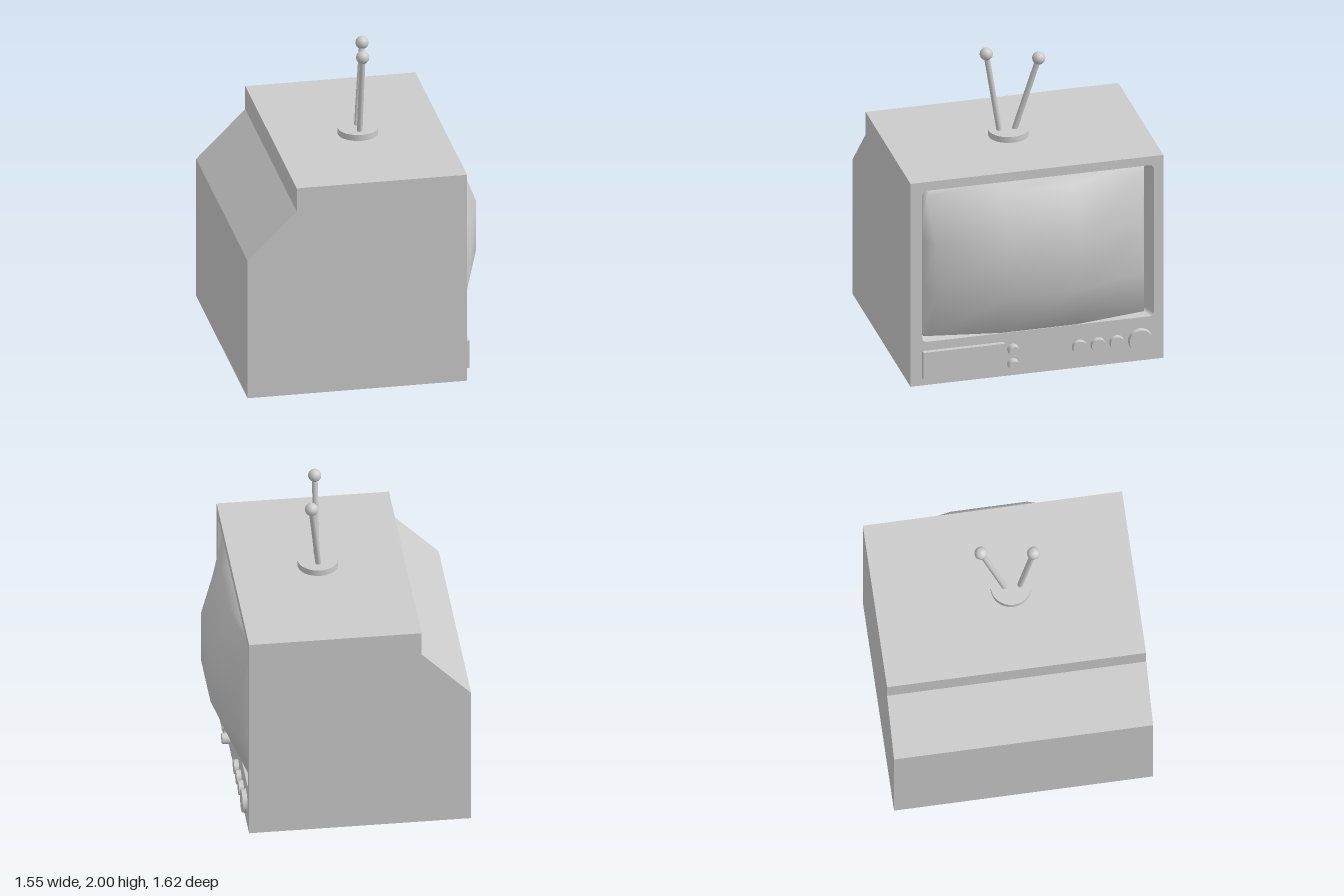
import * as THREE from 'three';
import { toCreasedNormals } from 'three/addons/utils/BufferGeometryUtils.js';

const grey = new THREE.MeshStandardMaterial({ color: 0xcccccc });
const FRONT = 0.605, BACK = -0.78, RECESS = 0.5, HALF = 0.81, TOP = 1.39;

function add(parent, name, geometry, x = 0, y = 0, z = 0) {
  const mesh = new THREE.Mesh(geometry, grey);
  mesh.name = name;
  mesh.position.set(x, y, z);
  parent.add(mesh);
  return mesh;
}

function polygon(points) {
  return new THREE.Shape(points.map(p => new THREE.Vector2(...p)));
}

// Rounded rectangle in (u, y), with u = -z, counter-clockwise
function roundedRect(u0, y0, u1, y1, r) {
  const s = new THREE.Path();
  s.absarc(u0 + r, y0 + r, r, Math.PI, Math.PI * 1.5);
  s.absarc(u1 - r, y0 + r, r, Math.PI * 1.5, Math.PI * 2);
  s.absarc(u1 - r, y1 - r, r, 0, Math.PI / 2);
  s.absarc(u0 + r, y1 - r, r, Math.PI / 2, Math.PI);
  s.closePath();
  return s.getSpacedPoints ? s.getPoints(4) : [];
}

function surface(positions, index) {
  const g = new THREE.BufferGeometry();
  g.setAttribute('position', new THREE.Float32BufferAttribute(positions, 3));
  g.setIndex(index);
  g.computeVertexNormals();
  return g;
}

// Sloping walls of the screen opening
function bezelGeometry(outer, inner) {
  const pos = [], index = [], n = outer.length;
  for (let i = 0; i < n; i++) {
    pos.push(FRONT, outer[i].y, -outer[i].x, RECESS, inner[i].y, -inner[i].x);
    const a = 2 * i, b = 2 * ((i + 1) % n);
    index.push(a, b, a + 1, b, b + 1, a + 1);
  }
  return toCreasedNormals(surface(pos, index), 0.6);
}

// Coarse smooth-shaded bulging tube face
function screenGeometry() {
  const zs = [0.72, 0.655, 0.24, -0.24, -0.67, -0.71];
  const ys = [0.3, 0.32, 0.62, 0.96, 1.275, 1.3];
  const ring = i => Math.min(i, 5 - i, 2);
  const pos = [], index = [];
  for (let j = 0; j < 6; j++) {
    for (let i = 0; i < 6; i++) {
      const a = ring(i), b = ring(j);
      let x = 0.775, z = zs[i];
      if (a === 0 || b === 0) x = 0.52;
      else if (a === 1 && b === 1) { x = 0.575; z = Math.sign(z) * 0.695; }
      else if (a === 1 || b === 1) x = 0.65;
      pos.push(x, ys[j], z);
      if (i < 5 && j < 5) {
        const k = j * 6 + i;
        index.push(k, k + 1, k + 7, k, k + 7, k + 6);
      }
    }
  }
  return surface(pos, index);
}

function knob(parent, name, y, z, r, depth) {
  const g = new THREE.CylinderGeometry(r * 0.95, r, depth, 24);
  g.rotateZ(-Math.PI / 2);
  add(parent, name, g, FRONT + depth / 2, y, z);
}

function antenna(parent, name, from, to) {
  const a = new THREE.Vector3(...from), b = new THREE.Vector3(...to);
  const dir = b.clone().sub(a);
  const rod = add(parent, name + 'Rod', new THREE.CylinderGeometry(0.018, 0.018, dir.length(), 16));
  rod.position.copy(a).add(b).multiplyScalar(0.5);
  rod.quaternion.setFromUnitVectors(new THREE.Vector3(0, 1, 0), dir.normalize());
  add(parent, name + 'Tip', new THREE.SphereGeometry(0.041, 24, 16), ...to);
}

export function createModel() {
  const tv = new THREE.Group();
  tv.name = 'television';

  // Cabinet with stepped, sloping back
  const side = polygon([[BACK, 0], [RECESS, 0], [RECESS, TOP], [-0.47, TOP], [-0.47, 1.235], [BACK, 0.925]]);
  add(tv, 'cabinet', new THREE.ExtrudeGeometry(side, { depth: 2 * HALF, bevelEnabled: false }), 0, 0, -HALF);

  // Front panel with screen opening
  const outer = roundedRect(-0.735, 0.295, 0.75, 1.33, 0.03);
  const inner = roundedRect(-0.715, 0.305, 0.705, 1.295, 0.02);
  const face = polygon([[-HALF, 0], [HALF, 0], [HALF, TOP], [-HALF, TOP]]);
  face.holes.push(new THREE.Path(outer));
  const panel = new THREE.ExtrudeGeometry(face, { depth: FRONT - RECESS, bevelEnabled: false });
  panel.rotateY(Math.PI / 2);
  add(tv, 'frontPanel', panel, RECESS);
  add(tv, 'screenBezel', bezelGeometry(outer, inner));
  add(tv, 'screen', screenGeometry());

  // Controls below the screen
  const controls = new THREE.Group();
  controls.name = 'controls';
  tv.add(controls);
  add(controls, 'controlCover', new THREE.BoxGeometry(0.03, 0.185, 0.52), FRONT + 0.015, 0.143, 0.475);
  for (const y of [0.18, 0.08]) knob(controls, 'smallKnob', y, 0.155, 0.036, 0.05);
  for (const z of [-0.27, -0.39, -0.51]) knob(controls, 'mediumKnob', 0.145, z, 0.047, 0.03);
  knob(controls, 'largeKnob', 0.145, -0.66, 0.077, 0.03);

  // Two-rod antenna on a round base
  const aerial = new THREE.Group();
  aerial.name = 'antenna';
  tv.add(aerial);
  add(aerial, 'antennaBase', new THREE.CylinderGeometry(0.126, 0.126, 0.04, 32), 0.07, TOP + 0.02, 0.04);
  antenna(aerial, 'left', [0.07, 1.41, 0.095], [0.072, 1.96, 0.182]);
  antenna(aerial, 'right', [0.07, 1.41, 0.005], [0.132, 1.92, -0.138]);

  return tv;
}
